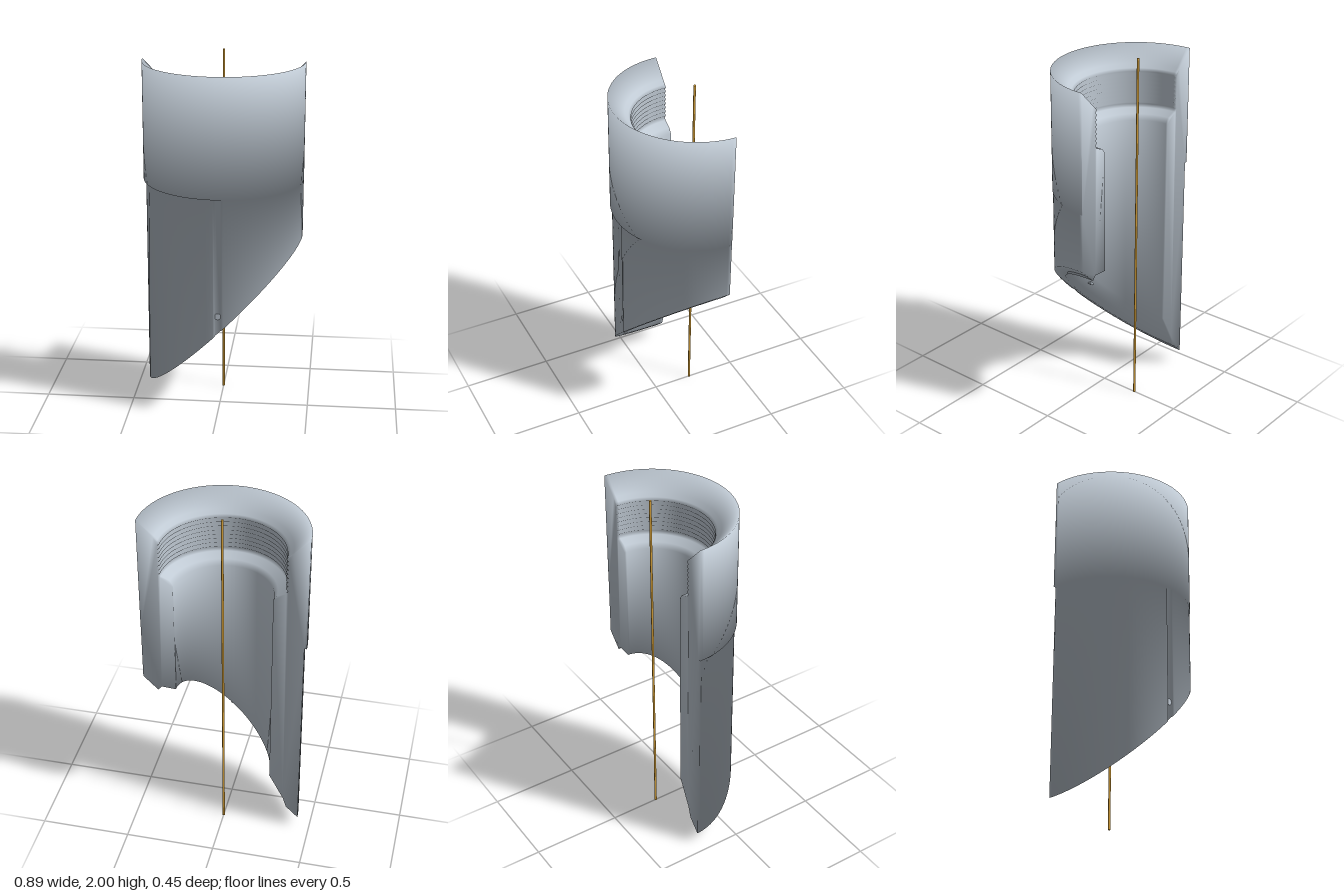
import * as THREE from 'three';

const AXIS_Z = -0.22;

// Closed (radius, height) cross-section of the sleeve wall at angle t
function wallSection(t) {
  const c = Math.cos(t);
  const slant = (r) => 0.505 + r * c; // 45 degree mule-shoe cut
  const inGroove = t > 1.515 && t < 1.59;
  const lower = 0.4395 + 0.0065 * c - (inGroove ? 0.012 : 0); // slightly eccentric
  const rim = 0.364 + 0.024 * Math.sin(t);
  const pts = [[0.447, 1.94], [0.36, 1.85], [0.34, 1.83]];
  // internal thread
  const teeth = 8, top = 1.815, pitch = 0.025;
  for (let i = 0; i < teeth; i++) {
    pts.push([0.327, top - i * pitch], [0.34, top - (i + 0.5) * pitch]);
  }
  // shoulder and bore
  pts.push([0.33, 1.61], [0.282, 1.59], [0.264, 1.56], [0.264, slant(0.264) + 0.12]);
  // recessed rim, slanted end and outside
  pts.push([rim - 0.02, slant(rim - 0.02) + 0.045], [rim, slant(rim)]);
  pts.push([lower, slant(lower)], [lower, 1.28], [0.447, 1.28]);
  return pts;
}

// Smooth normals over every edge, each face weighted by its corner angle
function smoothNormals(g) {
  const p = g.attributes.position, idx = g.index.array;
  const sums = Array.from({ length: p.count }, () => new THREE.Vector3());
  const v = [0, 1, 2].map(() => new THREE.Vector3());
  const e1 = new THREE.Vector3(), e2 = new THREE.Vector3(), n = new THREE.Vector3();
  for (let f = 0; f < idx.length; f += 3) {
    v.forEach((q, k) => q.fromBufferAttribute(p, idx[f + k]));
    for (let k = 0; k < 3; k++) {
      e1.subVectors(v[(k + 1) % 3], v[k]);
      e2.subVectors(v[(k + 2) % 3], v[k]);
      n.crossVectors(e1, e2).normalize();
      sums[idx[f + k]].addScaledVector(n, e1.angleTo(e2));
    }
  }
  const normals = sums.flatMap((s) => s.normalize().toArray());
  g.setAttribute('normal', new THREE.Float32BufferAttribute(normals, 3));
  return g;
}

function sleeveGeometry() {
  // even steps round the half circle, with extra ones at the groove edges
  const angles = [1.51, 1.518, 1.587, 1.595];
  const steps = 72;
  for (let i = 0; i <= steps; i++) {
    const t = (Math.PI * i) / steps;
    if (t < 1.505 || t > 1.6) angles.push(t);
  }
  angles.sort((a, b) => a - b);

  const pos = [], index = [];
  const sections = angles.map(wallSection);
  const n = sections[0].length;
  sections.forEach((sec, j) => {
    const c = Math.cos(angles[j]), s = Math.sin(angles[j]);
    sec.forEach(([r, y]) => pos.push(r * c, y, AXIS_Z + r * s));
  });
  for (let j = 0; j < angles.length - 1; j++) {
    for (let i = 0; i < n; i++) {
      const a = j * n + i, b = j * n + ((i + 1) % n);
      index.push(a, b, b + n, a, b + n, a + n);
    }
  }
  // flat cut faces, both facing backwards
  for (const j of [0, angles.length - 1]) {
    const sec = sections[j].map(([r, y]) => new THREE.Vector2(r, y));
    for (const [a, b, c] of THREE.ShapeUtils.triangulateShape(sec, [])) {
      const ccw = THREE.ShapeUtils.area([sec[a], sec[b], sec[c]]) > 0;
      const keep = ccw === (j > 0), o = j * n;
      index.push(o + a, o + (keep ? b : c), o + (keep ? c : b));
    }
  }
  const g = new THREE.BufferGeometry();
  g.setAttribute('position', new THREE.Float32BufferAttribute(pos, 3));
  g.setIndex(index);
  return smoothNormals(g);
}

export function createModel() {
  const steel = new THREE.MeshStandardMaterial({ color: 0xc0cad4 });
  steel.name = 'steel grey';
  const gold = new THREE.MeshStandardMaterial({ color: 0xe6ac3c });
  gold.name = 'gold';

  const model = new THREE.Group();
  model.name = 'sectionedSleeve';
  const add = (name, geometry, material) => {
    const mesh = new THREE.Mesh(geometry, material);
    mesh.name = name;
    model.add(mesh);
    return mesh;
  };

  // half-cut sleeve with collar, thread, bore and slanted end
  add('sleeve', sleeveGeometry(), steel);

  // small pin through the wall at the foot of the groove
  const pin = add('groovePin', new THREE.CylinderGeometry(0.018, 0.018, 0.13, 20), steel);
  pin.rotation.x = Math.PI / 2;
  pin.position.set(0.007, 0.612, 0.146);

  // thin rod on the centre line
  const rod = add('centreRod', new THREE.CylinderGeometry(0.0065, 0.0065, 2, 16), gold);
  rod.position.set(0, 1, AXIS_Z);

  return model;
}
